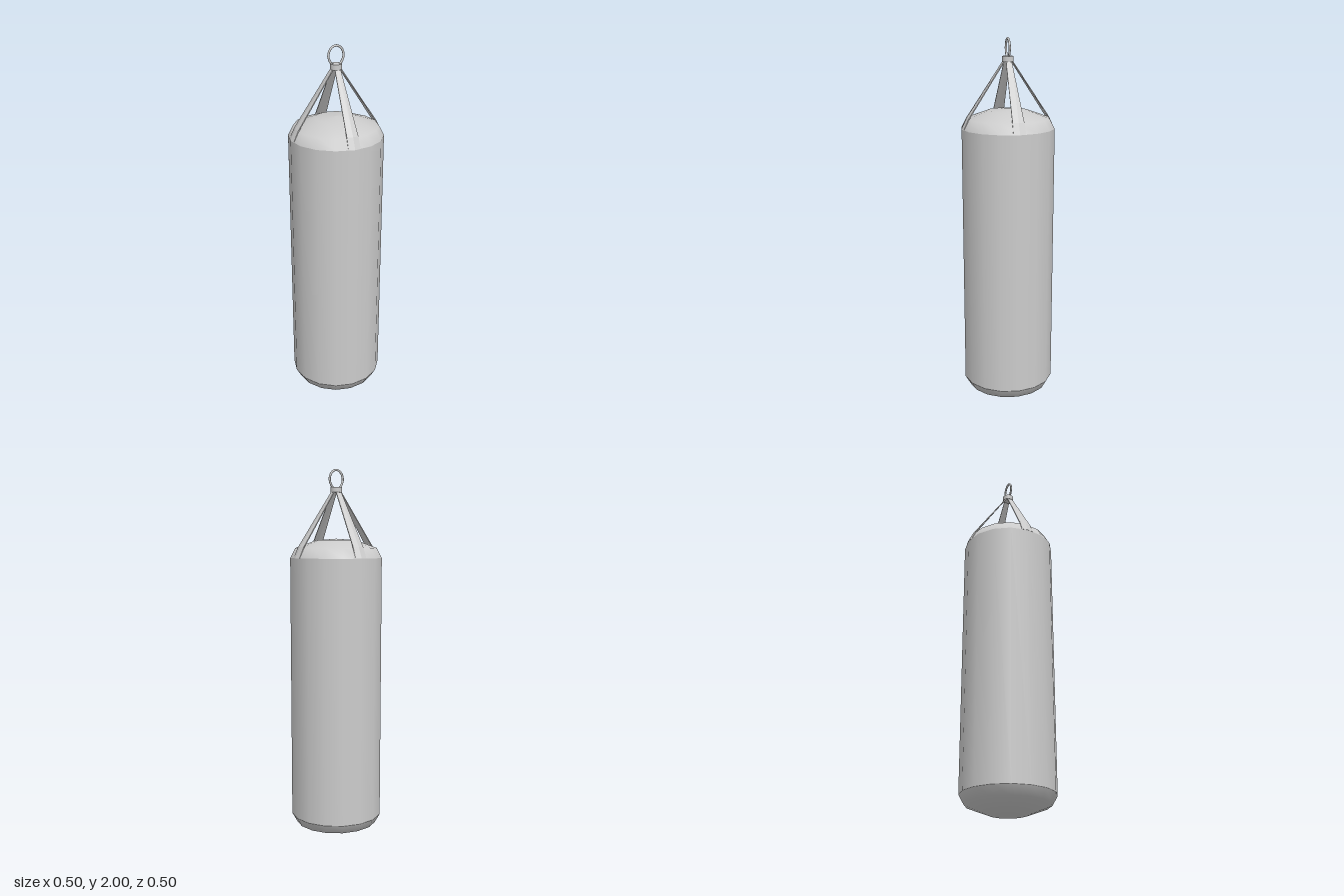
import * as THREE from 'three';

const SIDES = 16;
const R = 0.25;

export function createModel() {
  const model = new THREE.Group();
  const material = new THREE.MeshStandardMaterial({ color: 0xcccccc });

  const add = (name, geometry, parent = model) => {
    const mesh = new THREE.Mesh(geometry, material);
    mesh.name = name;
    parent.add(mesh);
    return mesh;
  };
  const lathe = (points) =>
    new THREE.LatheGeometry(points.map(([r, y]) => new THREE.Vector2(r, y)), SIDES);

  // Bag: separate lathes keep the rims crisp
  add('bagBottom', lathe([[0, 0.003], [0.108, 0.012], [0.222, 0.056], [R, 0.106]]));
  add('bagBody', lathe([[R, 0.106], [R, 1.53]]));
  add('bagTop', lathe([[R, 1.53], [0.222, 1.583], [0.108, 1.624], [0, 1.632]]));

  // Four straps from the collar to the rim of the bag
  const strap = strapGeometry();
  for (let i = 0; i < 4; i++) {
    const mesh = add('strap', strap);
    mesh.rotation.y = (i * Math.PI) / 2;
  }

  // Collar gathering the straps
  const collar = add('collar', new THREE.CylinderGeometry(0.03, 0.03, 0.028, 16));
  collar.position.y = 1.89;

  // Oval hanging ring, narrowing towards the collar
  const loop = [];
  for (let i = 0; i < 16; i++) {
    const a = (i / 16) * Math.PI * 2;
    const pinch = 1 + 0.15 * Math.min(0, Math.sin(a));
    loop.push(new THREE.Vector3(0.041 * Math.cos(a) * pinch, 1.943 + 0.051 * Math.sin(a), 0));
  }
  const curve = new THREE.CatmullRomCurve3(loop, true);
  add('hangingRing', new THREE.TubeGeometry(curve, 32, 0.006, 8, true));

  return model;
}

// Strap facing +z, lofted from thin sections: [height, reach, half width, bend]
function strapGeometry() {
  const sections = [
    [1.885, 0.02, 0.015, 0],
    [1.588, 0.224, 0.031, 0.006],
    [1.53, 0.2515, 0.033, 0.0066],
  ];
  const rings = sections.map(([y, z, w, bend]) => {
    const t = 0.006;
    return [
      [-w, y, z - bend], [0, y, z], [w, y, z - bend],
      [w, y, z - bend - t], [0, y, z - t], [-w, y, z - bend - t],
    ];
  });
  const position = [];
  const quad = (a, b, c, d) => position.push(...a, ...b, ...c, ...a, ...c, ...d);
  for (let i = 0; i < rings.length - 1; i++) {
    for (let j = 0; j < 6; j++) {
      const k = (j + 1) % 6;
      quad(rings[i + 1][j], rings[i + 1][k], rings[i][k], rings[i][j]);
    }
  }
  // End caps
  const capTop = rings[0], capLow = rings[rings.length - 1];
  for (const j of [0, 1]) {
    quad(capTop[j], capTop[j + 1], capTop[4 - j], capTop[5 - j]);
    quad(capLow[5 - j], capLow[4 - j], capLow[j + 1], capLow[j]);
  }
  const geometry = new THREE.BufferGeometry();
  geometry.setAttribute('position', new THREE.Float32BufferAttribute(position, 3));
  geometry.computeVertexNormals();
  return geometry;
}
